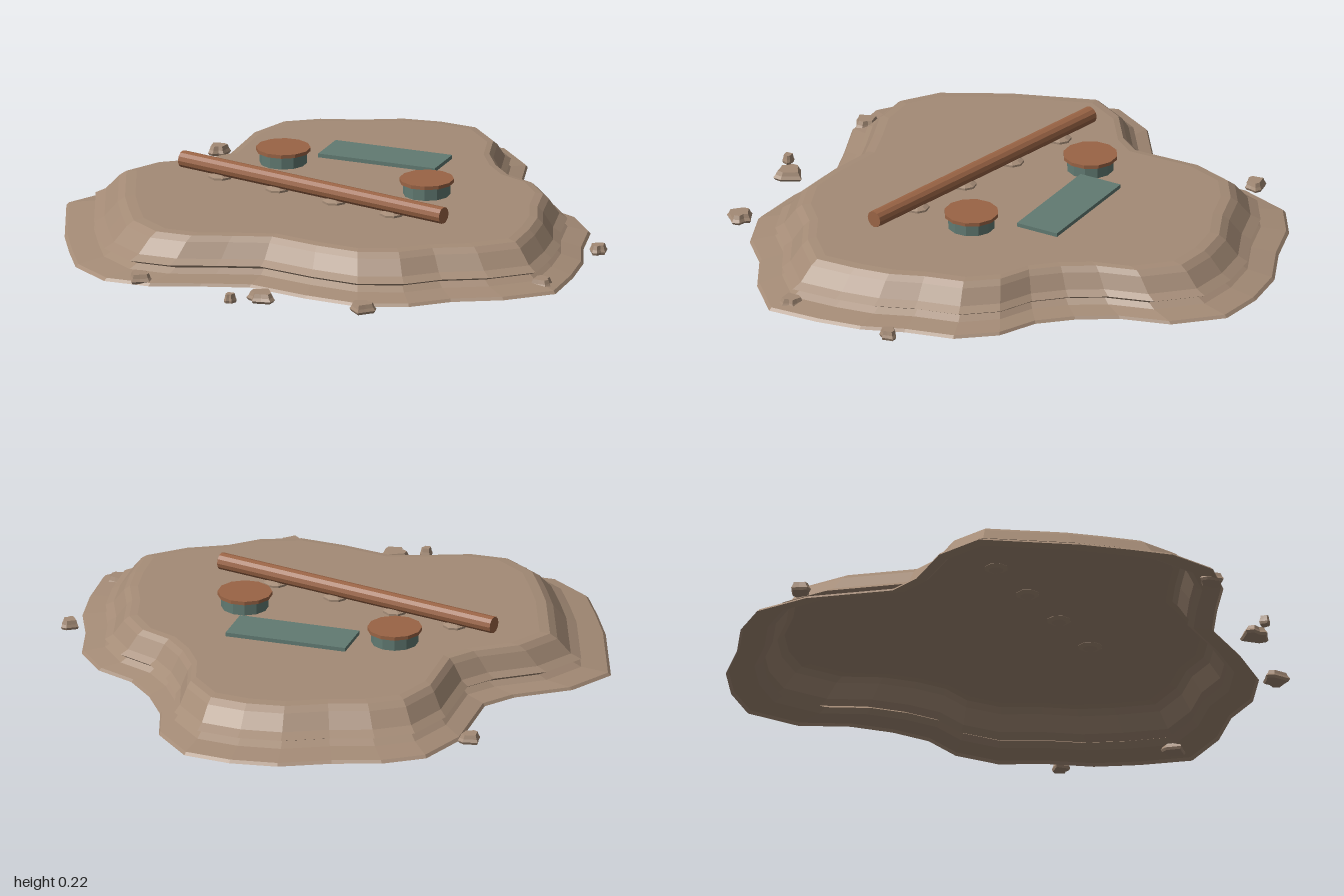
import * as THREE from 'three';

const mat = (name, color) => Object.assign(
  new THREE.MeshStandardMaterial({ color, flatShading: true, side: THREE.DoubleSide }), { name });

// Shell made of one star-shaped outline repeated as [scale, height] rings, closed on top by a fan
function terracedShell(outline, rings, closedBottom) {
  const pos = [], idx = [], n = outline.length;
  for (const [s, y] of rings) for (const [x, z] of outline) pos.push(x * s, y, z * s);
  for (let r = 0; r < rings.length - 1; r++) {
    for (let i = 0; i < n; i++) {
      const a = r * n + i, b = r * n + (i + 1) % n;
      idx.push(a, b, b + n, a, b + n, a + n);
    }
  }
  const cap = (r, flip) => {
    const c = pos.length / 3;
    pos.push(0, rings[r][1], 0);
    for (let i = 0; i < n; i++) {
      const a = r * n + i, b = r * n + (i + 1) % n;
      idx.push(...(flip ? [b, a, c] : [a, b, c]));
    }
  };
  cap(rings.length - 1, false);
  if (closedBottom) cap(0, true);
  const g = new THREE.BufferGeometry();
  g.setAttribute('position', new THREE.Float32BufferAttribute(pos, 3));
  g.setIndex(idx);
  const flat = g.toNonIndexed();
  flat.computeVertexNormals();
  return flat;
}

export function createModel() {
  const model = new THREE.Group();
  model.name = 'sandMound';
  const sand = mat('sand', 0xa48b76);
  const copper = mat('copper', 0x9a6445);
  const teal = mat('teal', 0x617a72);

  const add = (name, geometry, material, x = 0, y = 0, z = 0, parent = model) => {
    const m = new THREE.Mesh(geometry, material);
    m.name = name;
    m.position.set(x, y, z);
    parent.add(m);
    return m;
  };

  // Mound: wavy outline, counter-clockwise from the back
  const outline = [
    [-0.07, -1], [-0.24, -0.98], [-0.4, -0.92], [-0.55, -0.8], [-0.7, -0.71], [-0.81, -0.59],
    [-0.83, -0.39], [-0.79, -0.24], [-0.75, -0.09], [-0.8, 0.03], [-0.94, 0.19], [-0.99, 0.37],
    [-0.89, 0.52], [-0.79, 0.67], [-0.68, 0.8], [-0.57, 0.92], [-0.4, 0.99], [-0.24, 0.95],
    [-0.09, 0.85], [0.06, 0.76], [0.29, 0.75], [0.49, 0.72], [0.64, 0.62], [0.73, 0.49],
    [0.87, 0.37], [0.98, 0.21], [0.93, 0.03], [0.87, -0.12], [0.78, -0.25], [0.7, -0.41],
    [0.57, -0.51], [0.42, -0.54], [0.3, -0.62], [0.19, -0.73], [0.1, -0.89],
  ];
  // Skirt, overhanging lip, sloped wall and flat top
  const moundRings = [[1, 0], [0.99, 0.01], [0.9, 0.025], [0.87, 0.042], [0.9, 0.055],
    [0.865, 0.073], [0.82, 0.125], [0.795, 0.143], [0.76, 0.147]];
  add('mound', terracedShell(outline, moundRings, false), sand);

  // Loose rocks around the rim: x, z, radius, turn
  const rockOutline = [[0, -1], [-0.45, -0.55], [-0.95, -0.1], [-0.85, 0.4], [-0.35, 0.55],
    [-0.1, 0.9], [0.4, 0.65], [0.95, 0.45], [0.9, -0.1], [0.45, -0.55]];
  const rockShape = terracedShell(rockOutline,
    [[0.88, 0.003], [1, 0.012], [0.85, 0.022], [0.72, 0.036]], true);
  const rocks = new THREE.Group();
  rocks.name = 'rocks';
  model.add(rocks);
  [[-0.87, -0.39, 0.043, 1.2], [0.85, -0.24, 0.036, 1.6], [0.9, 0.18, 0.046, 2.6],
    [0.54, 0.76, 0.052, 3.4], [0.18, 0.86, 0.058, 0], [0.1, 0.94, 0.023, 1],
    [-0.29, 0.93, 0.048, 3.1]].forEach(([x, z, r, turn]) => {
    const rock = add('rock', rockShape, sand, x, 0, z, rocks);
    rock.scale.set(r, 1, r);
    rock.rotation.y = turn;
  });

  // Long bar lying on four pebbles
  const bar = add('bar', new THREE.CylinderGeometry(0.03, 0.03, 1.11, 12), copper, -0.075, 0.185, 0.175);
  bar.rotation.z = Math.PI / 2;
  const pebbleShape = new THREE.SphereGeometry(1, 8, 5);
  for (let i = 0; i < 4; i++) {
    add('pebble', pebbleShape, sand, -0.47 + i * 0.243, 0.15, 0.175).scale.set(0.045, 0.014, 0.045);
  }

  // Two capped round posts
  for (const x of [-0.37, 0.24]) {
    add('postBase', new THREE.CylinderGeometry(0.083, 0.083, 0.045, 12), teal, x, 0.177, -0.067);
    add('postCap', new THREE.CylinderGeometry(0.096, 0.096, 0.013, 12), copper, x, 0.205, -0.067);
  }

  // Tilted rectangular plate
  const plate = add('plate', new THREE.BoxGeometry(0.44, 0.014, 0.162), teal, -0.063, 0.185, -0.25);
  plate.rotation.y = 0.22;

  return model;
}
